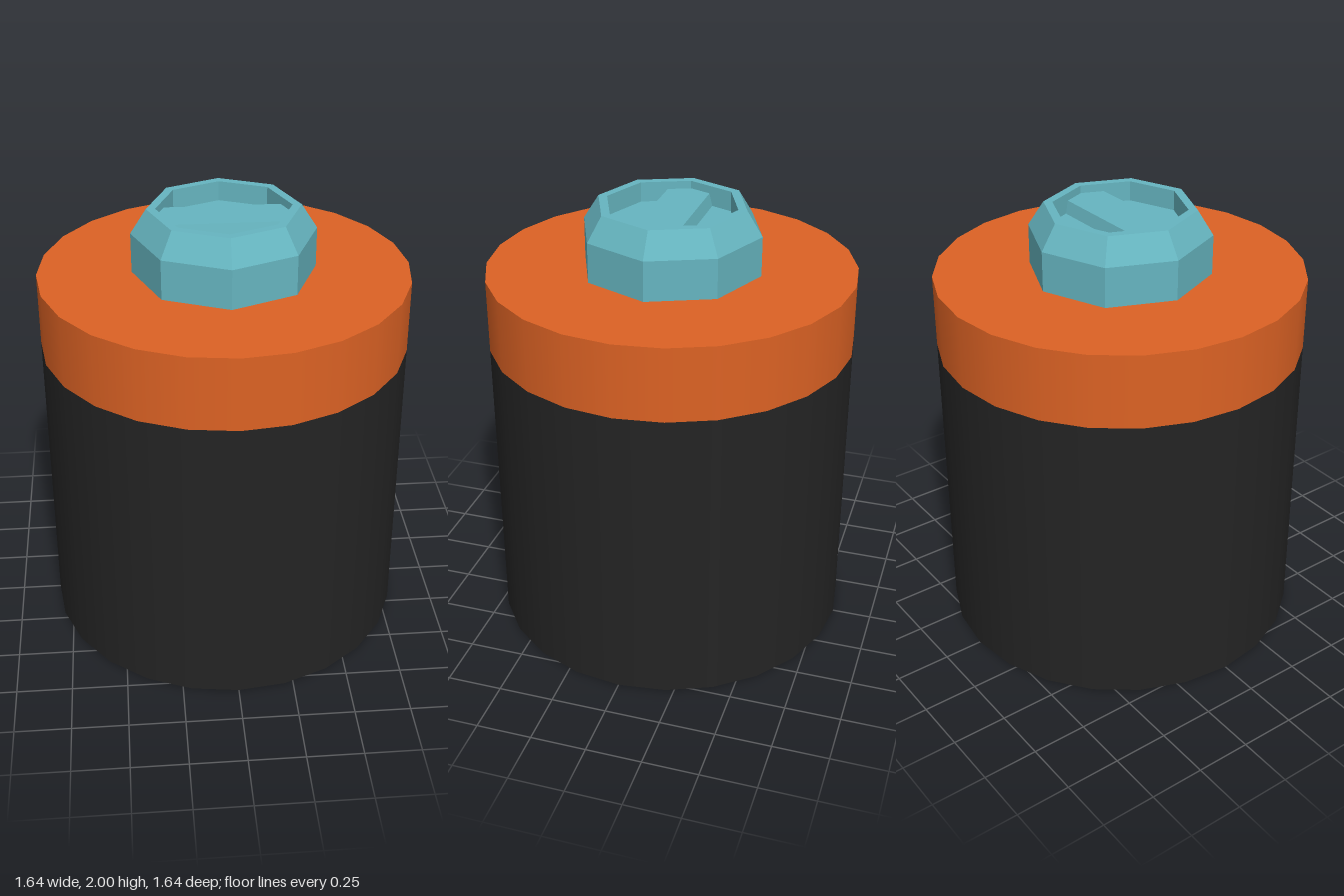
import * as THREE from 'three';

export function createModel() {
  const model = new THREE.Group();
  model.name = 'battery';

  const mat = (name, color) => {
    const m = new THREE.MeshStandardMaterial({ color });
    m.name = name;
    return m;
  };
  const black = mat('black casing', 0x242424);
  const orange = mat('copper orange', 0xdc6224);
  const teal = mat('teal metal', 0x66b5c0);

  const add = (name, geometry, material) => {
    const mesh = new THREE.Mesh(geometry, material);
    mesh.name = name;
    model.add(mesh);
    return mesh;
  };

  // Gives every face its own normal
  const faceted = (geometry) => {
    const g = geometry.index ? geometry.toNonIndexed() : geometry;
    g.computeVertexNormals();
    return g;
  };

  // Cylindrical casing and the coloured band at its top
  const R = 0.82, SPLIT = 1.38, TOP = 1.71;
  add('casing', new THREE.CylinderGeometry(R, R, SPLIT, 24), black).position.y = SPLIT / 2;
  add('topBand', new THREE.CylinderGeometry(R, R, TOP - SPLIT, 24), orange).position.y = (SPLIT + TOP) / 2;

  // Octagonal terminal: chamfered outside, flat rim, recessed floor
  const FLOOR = 1.91, INNER = 0.295;
  const profile = [
    [0.405, TOP], [0.405, 1.89], [0.335, 2], [INNER, 2], [INNER, FLOOR], [0, FLOOR],
  ].map(([r, y]) => new THREE.Vector2(r, y));
  add('terminal', faceted(new THREE.LatheGeometry(profile, 8)), teal);

  // Raised minus bar across the recess, its ends following the octagon walls
  const half = 0.097, endX = INNER - half * Math.tan(Math.PI / 8);
  const plan = new THREE.Shape([
    [INNER, 0], [endX, half], [-endX, half], [-INNER, 0], [-endX, -half], [endX, -half],
  ].map(([x, y]) => new THREE.Vector2(x, y)));
  const bar = new THREE.ExtrudeGeometry(plan, { depth: 0.055, bevelEnabled: false });
  bar.rotateX(-Math.PI / 2);
  // Widen the foot so the long sides slope
  const p = bar.attributes.position;
  for (let i = 0; i < p.count; i++) {
    if (p.getY(i) < 0.01) p.setZ(i, p.getZ(i) * 1.16);
  }
  add('minusBar', faceted(bar), teal).position.y = FLOOR;

  return model;
}
